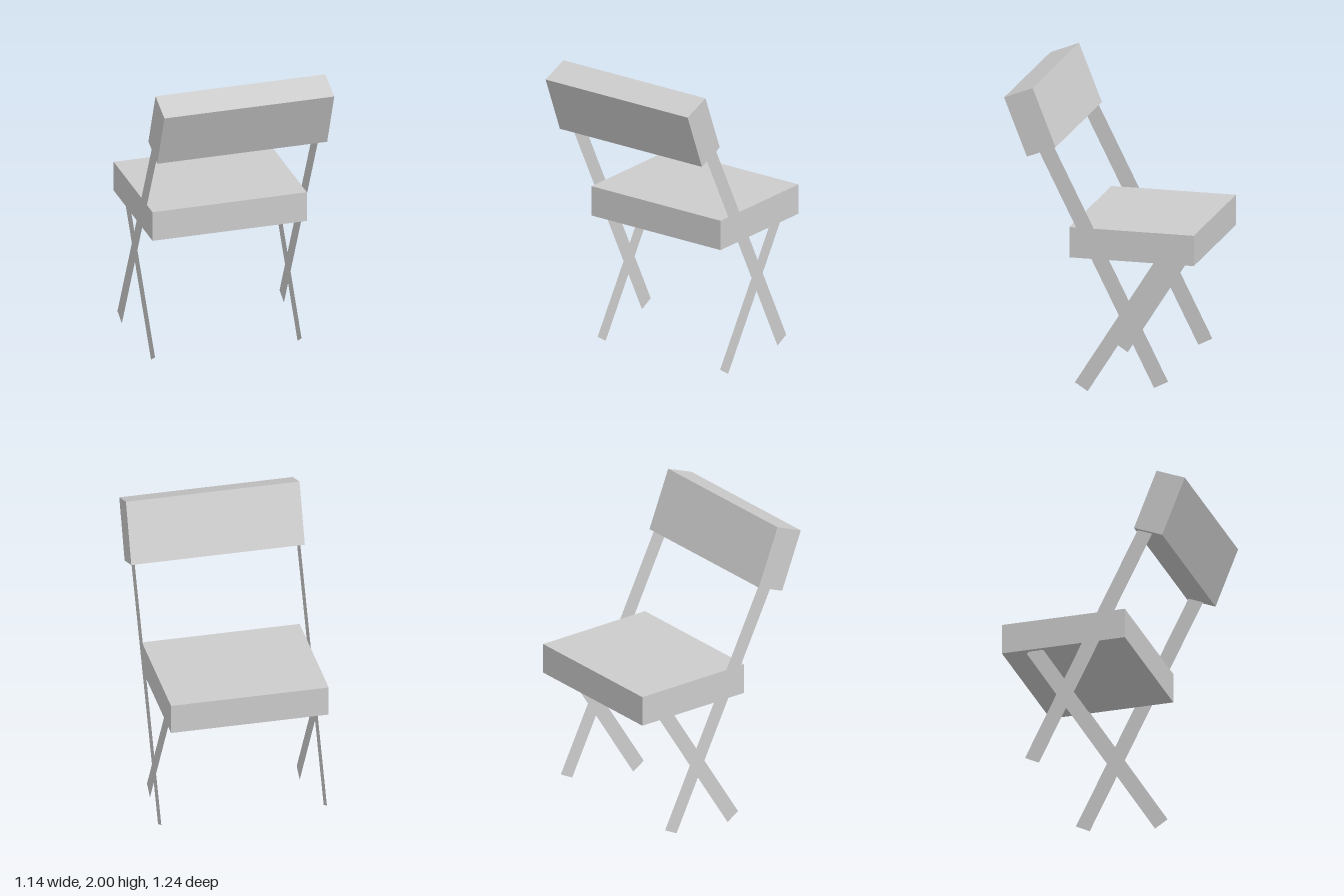
import * as THREE from 'three';

const grey = new THREE.MeshStandardMaterial({ color: 0xcccccc, flatShading: true });
const sheet = new THREE.MeshStandardMaterial({ color: 0xcccccc, flatShading: true, side: THREE.DoubleSide });

function block(name, w, h, d, y, z, tilt = 0) {
  const mesh = new THREE.Mesh(new THREE.BoxGeometry(w, h, d), grey);
  mesh.name = name;
  mesh.position.set(0, y, z);
  mesh.rotation.x = tilt;
  return mesh;
}

// Flat strip standing in the plane at x, running from one [z, y] point to another
function strip(name, x, [z0, y0], [z1, y1], width) {
  const dz = z1 - z0, dy = y1 - y0;
  const geo = new THREE.PlaneGeometry(width, Math.hypot(dz, dy));
  geo.rotateY(Math.PI / 2);
  geo.rotateX(Math.atan2(dz, dy));
  geo.translate(x, (y0 + y1) / 2, (z0 + z1) / 2);
  const mesh = new THREE.Mesh(geo, sheet);
  mesh.name = name;
  return mesh;
}

export function createModel() {
  const chair = new THREE.Group();
  chair.name = 'foldingChair';

  // Thick cushions
  chair.add(block('seat', 1.032, 0.2, 0.822, 0.985, -0.209));
  chair.add(block('backrest', 1.136, 0.41, 0.203, 1.773, 0.449, 0.377));

  // Crossed pairs of flat legs: the long ones carry the backrest
  for (const [side, s] of [['left', 1], ['right', -1]]) {
    chair.add(strip(side + 'LongLeg', s * 0.542, [-0.411, 0.092], [0.357, 1.62], 0.104));
    chair.add(strip(side + 'ShortLeg', s * 0.49, [0.13, 0.028], [-0.42, 0.9], 0.1));
  }
  return chair;
}
